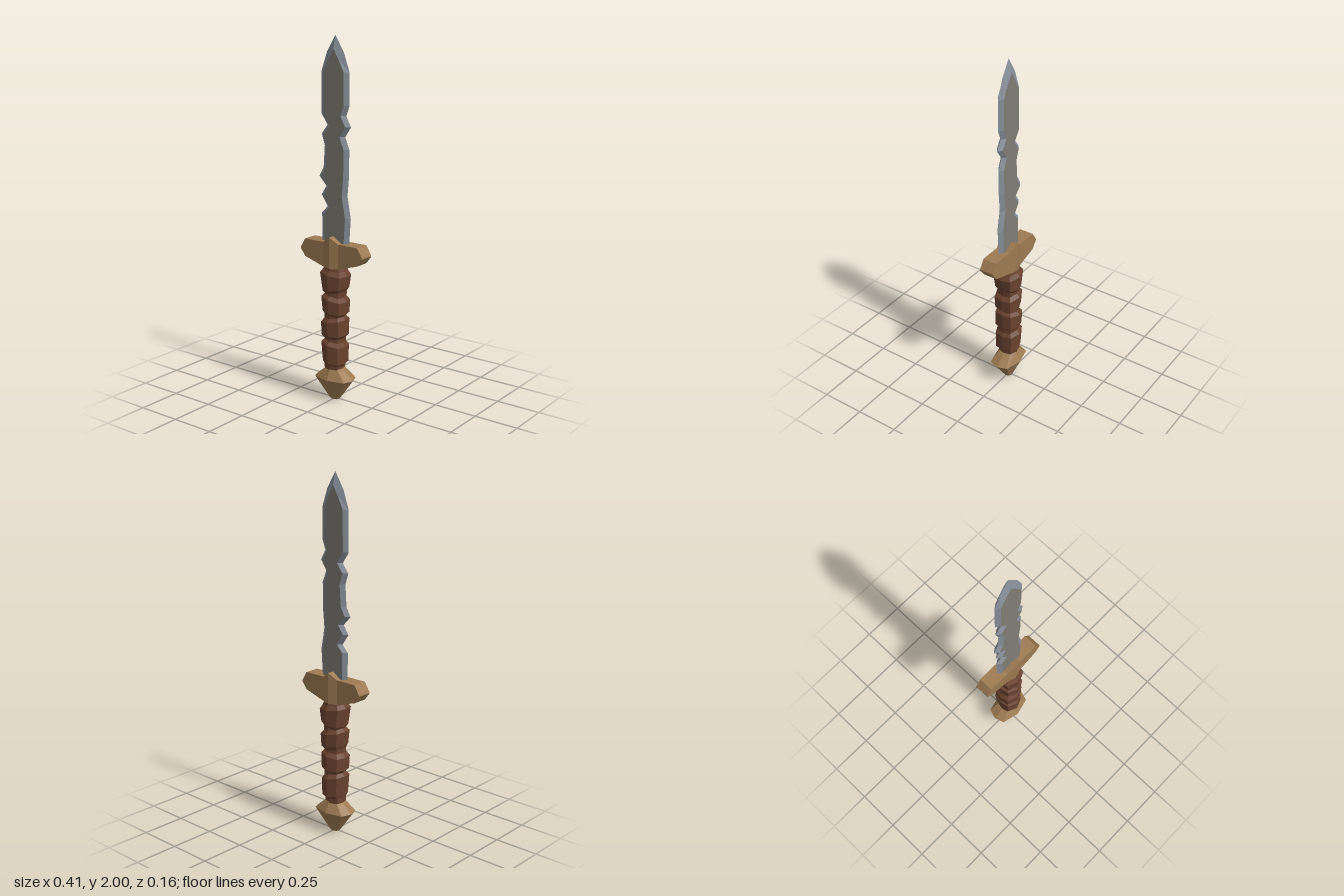
import * as THREE from 'three';

const paint = (name, color, extra = {}) => {
  const m = new THREE.MeshStandardMaterial({ color, flatShading: true, ...extra });
  m.name = name;
  return m;
};

// Flat-sided geometry from a list of [a, b, c, d] corner quads
function fromQuads(quads) {
  const pos = [];
  for (const [a, b, c, d] of quads) pos.push(...a, ...b, ...c, ...a, ...c, ...d);
  const g = new THREE.BufferGeometry();
  g.setAttribute('position', new THREE.Float32BufferAttribute(pos, 3));
  g.computeVertexNormals();
  return g;
}

// Skin a row of rings and cap both ends
function loft(rings) {
  const quads = [];
  const n = rings[0].length;
  for (let i = 0; i < rings.length - 1; i++) {
    for (let j = 0; j < n; j++) {
      const k = (j + 1) % n;
      quads.push([rings[i][j], rings[i][k], rings[i + 1][k], rings[i + 1][j]]);
    }
  }
  const first = rings[0], last = rings[rings.length - 1];
  for (let j = 1; j < n - 1; j += 2) {
    quads.push([first[0], first[(j + 2) % n], first[j + 1], first[j]]);
    quads.push([last[0], last[j], last[j + 1], last[(j + 2) % n]]);
  }
  return fromQuads(quads);
}

// Flattened octagon ring; tilt slopes it sideways
const OCTAGON = [[1, 0], [0.84, -0.7], [0, -1], [-0.84, -0.7], [-1, 0], [-0.84, 0.7], [0, 1], [0.84, 0.7]];
const octRing = ([y, rx, rz, cx = 0, tilt = 0]) =>
  OCTAGON.map(([x, z]) => [cx + x * rx, y + tilt * x * rx, z * rz]);

export function createModel() {
  const model = new THREE.Group();
  model.name = 'dagger';
  const steel = paint('blade steel', 0x7f7d75, { side: THREE.DoubleSide });
  const edge = paint('sharpened edge', 0x89919b, { side: THREE.DoubleSide });
  const brass = paint('brass', 0x9d7b53);
  const leather = paint('leather', 0x6a4330);
  const add = (name, geometry, material, parent = model) => {
    const mesh = new THREE.Mesh(geometry, material);
    mesh.name = name;
    parent.add(mesh);
    return mesh;
  };

  // Pommel
  add('pommel', loft([
    [0, 0.027, 0.025], [0.125, 0.118, 0.081], [0.185, 0.045, 0.05],
  ].map(octRing)), brass);

  // Grip: a core with four uneven wrapped swellings
  add('grip', loft([
    [0.17, 0.05, 0.052, -0.004],
    [0.205, 0.052, 0.055, -0.003, -0.1],
    [0.22, 0.06, 0.072, 0.002, -0.1],
    [0.325, 0.066, 0.075, -0.002, -0.2],
    [0.345, 0.052, 0.057, 0, -0.2],
    [0.358, 0.052, 0.057, 0, 0.05],
    [0.375, 0.066, 0.073, 0, 0.05],
    [0.458, 0.069, 0.075, -0.002, 0.15],
    [0.478, 0.053, 0.057, 0, 0.1],
    [0.492, 0.053, 0.057, 0, -0.1],
    [0.51, 0.064, 0.072, 0.004, -0.15],
    [0.585, 0.071, 0.075, 0.002, -0.2],
    [0.605, 0.053, 0.057, 0.002, -0.2],
    [0.62, 0.053, 0.057, 0.004, 0.15],
    [0.638, 0.063, 0.073, 0.004, 0.15],
    [0.725, 0.078, 0.077, 0.001, -0.12],
    [0.748, 0.062, 0.06, 0.002, -0.1],
    [0.78, 0.05, 0.055],
  ].map(octRing)), leather);

  // Guard: sections across x as [x, bottom, top, half depth]
  const half = [[0.05, 0.762, 0.9, 0.042], [0.175, 0.8, 0.9, 0.042], [0.207, 0.842, 0.848, 0.042]];
  const sections = [
    ...half.map(([x, ...rest]) => [-x, ...rest]).reverse(),
    [0, 0.757, 0.935, 0.058],
    ...half,
  ];
  add('guard', loft(sections.map(([x, lo, hi, z]) =>
    [[x, hi, z], [x, lo, z], [x, lo, -z], [x, hi, -z]])), brass);

  // Blade edge lines from guard to tip, with battle notches
  const leftEdge = [[0.09, 0.86], [0.102, 1.04], [0.08, 1.16], [0.09, 1.27], [0.091, 1.41],
    [0.065, 1.475], [0.102, 1.53], [0.071, 1.585], [0.092, 1.64], [0.092, 1.81], [0.056, 1.91], [0, 2]];
  const rightEdge = [[-0.087, 0.86], [-0.09, 1.05], [-0.052, 1.09], [-0.093, 1.15], [-0.06, 1.2],
    [-0.107, 1.25], [-0.079, 1.3], [-0.071, 1.42], [-0.091, 1.48], [-0.052, 1.53], [-0.093, 1.59],
    [-0.092, 1.81], [-0.056, 1.91], [0, 2]];
  const inset = ([x, y]) => x === 0 ? [0, 1.93]
    : [Math.sign(x) * (Math.abs(x) - 0.025), y > 1.85 ? y - 0.03 : y];
  const T = 0.018;
  const blade = new THREE.Group();
  blade.name = 'blade';
  model.add(blade);

  // Flat blade faces
  const outline = [...leftEdge.map(inset), ...rightEdge.map(inset).reverse().slice(1)];
  const face = new THREE.ShapeGeometry(new THREE.Shape(outline.map(p => new THREE.Vector2(...p))));
  add('bladeFront', face, steel, blade).position.z = T;
  const back = add('bladeBack', face, steel, blade);
  back.position.z = -T;

  // Bevels slope from the flat faces to the cutting edge
  for (const [name, line, side] of [['leftBevel', leftEdge, 1], ['rightBevel', rightEdge, -1]]) {
    const quads = [];
    for (let i = 0; i < line.length - 1; i++) {
      for (const s of [1, -1]) {
        const q = [[...line[i], 0], [...line[i + 1], 0],
          [...inset(line[i + 1]), s * T], [...inset(line[i]), s * T]];
        quads.push(side * s > 0 ? q : q.reverse());
      }
    }
    add(name, fromQuads(quads), edge, blade);
  }
  return model;
}
